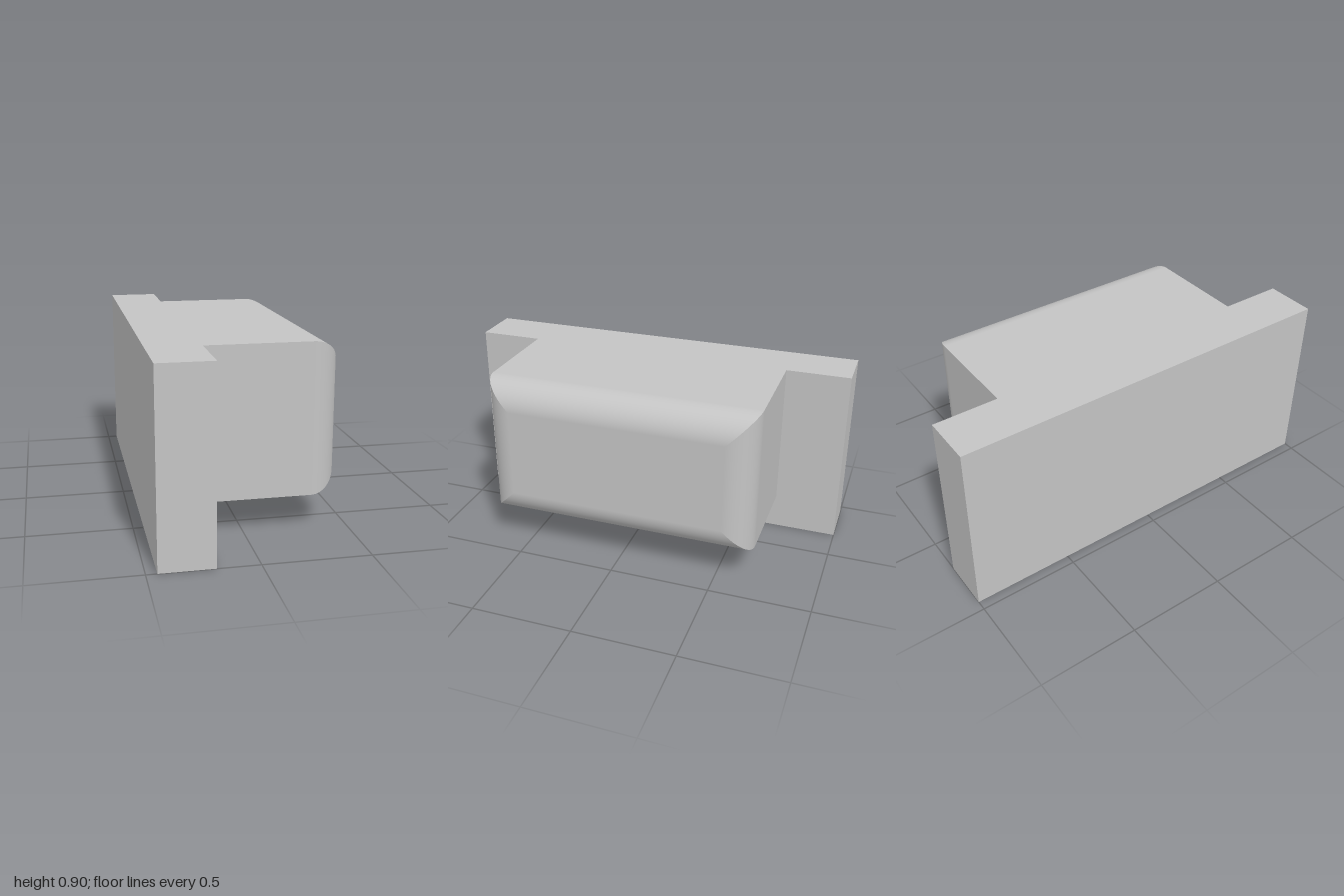
import * as THREE from 'three';

const X0 = -0.195, X1 = 0.45;          // block depth range
const Y0 = 0.175, Y1 = 0.9, HZ = 0.68; // block height range and half length
const R = 0.14, STEPS = 16;            // rounded front edge

// Block whose four front edges are rounded and meet in mitred corners
function roundedBlock() {
  const pos = [], nor = [], idx = [];
  const corners = (d) => [[Y0 + d, -HZ + d], [Y1 - d, -HZ + d], [Y1 - d, HZ - d], [Y0 + d, HZ - d]];

  // Profile rows: position along x, inset and slope angle
  const rows = [{ x: X0, inset: 0, a: 0 }];
  for (let i = 0; i <= STEPS; i++) {
    const a = (i / STEPS) * Math.PI / 2;
    rows.push({ x: X1 - R + R * Math.sin(a), inset: R * (1 - Math.cos(a)), a });
  }

  // Four sides, each smooth along its own profile
  const outward = [[0, -1], [1, 0], [0, 1], [-1, 0]];
  outward.forEach(([ny, nz], side) => {
    const base = pos.length / 3;
    rows.forEach(({ x, inset, a }, i) => {
      const c = corners(inset);
      for (const p of [c[side], c[(side + 1) % 4]]) {
        pos.push(x, ...p);
        nor.push(Math.sin(a), ny * Math.cos(a), nz * Math.cos(a));
      }
      if (i < rows.length - 1) {
        const k = base + i * 2;
        idx.push(k, k + 1, k + 2, k + 1, k + 3, k + 2);
      }
    });
  });

  // Flat outer face
  const k = pos.length / 3;
  for (const p of corners(R)) {
    pos.push(X1, ...p);
    nor.push(1, 0, 0);
  }
  idx.push(k, k + 1, k + 2, k, k + 2, k + 3);

  const g = new THREE.BufferGeometry();
  g.setAttribute('position', new THREE.Float32BufferAttribute(pos, 3));
  g.setAttribute('normal', new THREE.Float32BufferAttribute(nor, 3));
  g.setIndex(idx);
  return g;
}

export function createModel() {
  const group = new THREE.Group();
  const grey = new THREE.MeshStandardMaterial({ color: 0xc4c4c4 });
  grey.name = 'light grey';

  // Upright back plate
  const plate = new THREE.Mesh(new THREE.BoxGeometry(X0 + 0.45, 0.9, 2), grey);
  plate.name = 'backPlate';
  plate.position.set((X0 - 0.45) / 2, 0.45, 0);

  // Projecting block, flush with the top of the plate
  const block = new THREE.Mesh(roundedBlock(), grey);
  block.name = 'roundedBlock';

  group.add(plate, block);
  return group;
}
